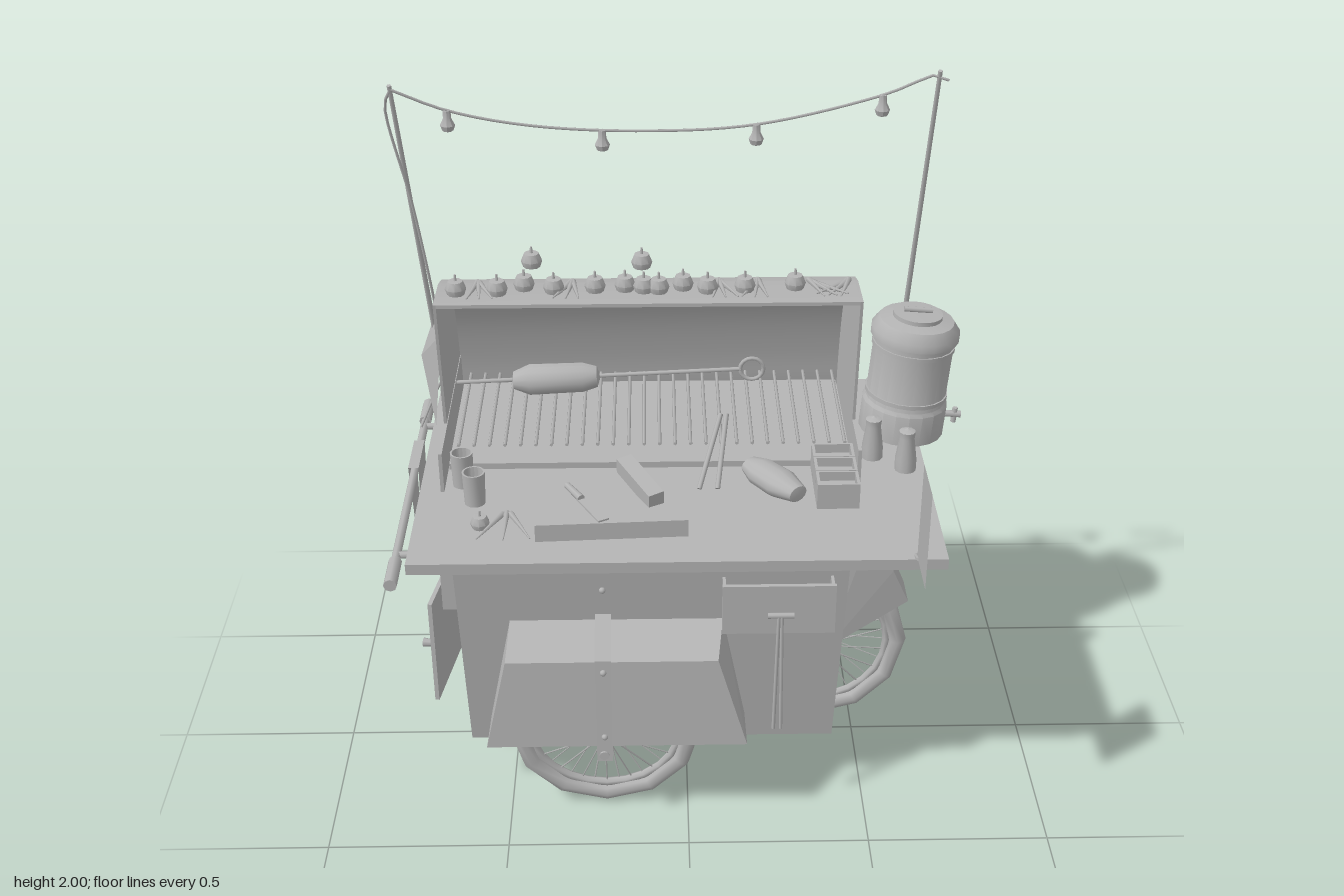
import * as THREE from 'three';
import { toCreasedNormals } from 'three/addons/utils/BufferGeometryUtils.js';
import { ConvexGeometry } from 'three/addons/geometries/ConvexGeometry.js';

const grey = new THREE.MeshStandardMaterial({ color: 0xb4b4b4, side: THREE.DoubleSide });
grey.name = 'plain grey';
const V = (p) => new THREE.Vector3(...p);

export function createModel() {
  const root = new THREE.Group();
  root.name = 'foodCart';

  const add = (name, geo, pos = [0, 0, 0], rot = [0, 0, 0], parent = root) => {
    const m = new THREE.Mesh(geo, grey);
    m.name = name;
    m.position.set(...pos);
    m.rotation.set(...rot);
    parent.add(m);
    return m;
  };
  // box given by its min and max corners
  const block = (name, a, b, parent = root) => add(name,
    new THREE.BoxGeometry(b[0] - a[0], b[1] - a[1], b[2] - a[2]),
    a.map((v, i) => (v + b[i]) / 2), [0, 0, 0], parent);
  // round bar between two points
  const rod = (name, a, b, r, r2 = r, parent = root, sides = 8) => {
    const d = V(b).sub(V(a));
    const m = add(name, new THREE.CylinderGeometry(r2, r, d.length(), sides),
      V(a).addScaledVector(d, 0.5).toArray(), [0, 0, 0], parent);
    m.quaternion.setFromUnitVectors(new THREE.Vector3(0, 1, 0), d.normalize());
    return m;
  };
  const wire = (name, pts, r = 0.004, n = 32) => add(name,
    new THREE.TubeGeometry(new THREE.CatmullRomCurve3(pts.map(V)), n, r, 5));
  const lathe = (name, pts, pos, sides = 16, rot, parent) => add(name, toCreasedNormals(
    new THREE.LatheGeometry(pts.map((p) => new THREE.Vector2(...p)), sides), 0.7), pos, rot, parent);
  // thin sheets made of four-cornered faces
  const sheets = (name, quads, parent = root) => {
    const g = new THREE.BufferGeometry();
    const v = quads.flatMap(([a, b, c, d]) => [a, b, c, a, c, d]).flat();
    g.setAttribute('position', new THREE.Float32BufferAttribute(v, 3));
    g.computeVertexNormals();
    return add(name, g, [0, 0, 0], [0, 0, 0], parent);
  };
  // (z, y) outline pushed along x
  const sideExtrude = (name, pts, x0, x1) => {
    const s = new THREE.Shape(pts.map((p) => new THREE.Vector2(...p)));
    const g = new THREE.ExtrudeGeometry(s, { depth: x1 - x0, bevelEnabled: false });
    g.rotateY(-Math.PI / 2).translate(x1, 0, 0);
    return add(name, toCreasedNormals(g, 0.5));
  };
  const rect = (x0, x1, z0, z1, y) => [[x0, y, z0], [x1, y, z0], [x1, y, z1], [x0, y, z1]];

  // Tapered body, trim and table top
  add('body', new ConvexGeometry([...rect(-0.61, 0.41, -0.41, 0.265, 0.19),
    ...rect(-0.622, 0.43, -0.495, 0.335, 0.81)].map(V)));
  block('bodyTrim', [-0.635, 0.8, -0.505], [0.442, 0.876, 0.345]);
  block('tableTop', [-0.725, 0.876, -0.534], [0.667, 0.907, 0.457]);
  for (const x of [-0.6, -0.23, 0.1, 0.4]) for (const z of [0.347, -0.507])
    add('trimBolt', new THREE.SphereGeometry(0.009, 8, 6), [x, 0.82, z]);

  // Spoked wheel, axis along z
  const wheel = (name, pos, tilt, parent) => {
    const w = new THREE.Group();
    w.name = name;
    w.position.set(...pos);
    w.rotation.x = tilt;
    parent.add(w);
    add('tyre', new THREE.TorusGeometry(0.243, 0.027, 8, 12), [0, 0, 0], [0, 0, 0], w);
    add('rim', new THREE.TorusGeometry(0.212, 0.012, 6, 24), [0, 0, 0], [0, 0, 0], w);
    add('hub', new THREE.CylinderGeometry(0.03, 0.03, 0.07, 12), [0, 0, 0], [Math.PI / 2, 0, 0], w);
    for (let i = 0; i < 36; i++) {
      const a = (i * Math.PI) / 18, c = Math.cos(a), s = Math.sin(a);
      rod('spoke', [c * 0.028, s * 0.028, i % 2 ? 0.028 : -0.028], [c * 0.208, s * 0.208, 0], 0.0022, 0.0022, w, 4);
    }
  };

  // Side wheels with boxy guards and straps, mirrored to the back
  for (const sign of [1, -1]) {
    const side = new THREE.Group();
    side.name = sign > 0 ? 'frontSideWheel' : 'backSideWheel';
    side.scale.z = sign;
    side.position.z = sign > 0 ? 0 : -0.16;
    root.add(side);
    wheel('sideWheel', [-0.23, 0.27, 0.322], 0.08, side);
    const back = [[-0.48, 0.63, 0.315], [0.095, 0.63, 0.315]];
    const edge = [[-0.49, 0.565, 0.42], [0.08, 0.565, 0.42]];
    const low = [[-0.55, 0.295, 0.437], [0.16, 0.295, 0.437]];
    const inner = [[-0.55, 0.28, 0.28], [0.16, 0.28, 0.28]];
    sheets('wheelGuard', [[back[0], edge[0], edge[1], back[1]], [edge[0], low[0], low[1], edge[1]],
      [back[0], inner[0], low[0], edge[0]], [back[1], edge[1], low[1], inner[1]]], side);
    const path = [[0.87, 0.348], [0.655, 0.325], [0.575, 0.43], [0.25, 0.446]];
    sheets('guardStrap', path.slice(1).map(([y, z], i) => {
      const [py, pz] = path[i];
      return [[-0.25, py, pz], [-0.25, y, z], [-0.207, y, z], [-0.207, py, pz]];
    }), side);
    rod('axle', [-0.23, 0.27, 0.27], [-0.23, 0.27, 0.45], 0.014, 0.014, side);
    for (const [y, z] of [[0.33, 0.442], [0.54, 0.434], [0.74, 0.337]])
      add('strapBolt', new THREE.SphereGeometry(0.009, 8, 6), [-0.228, y, z], [0, 0, 0], side);
  }

  // Steering wheel and its tapering hood at the +x end
  wheel('endWheel', [0.39, 0.27, -0.08], 0, root);
  const arc = [[0.42, 0.675, 0.088], [0.51, 0.645, 0.082], [0.6, 0.555, 0.066], [0.65, 0.44, 0.052]];
  const guard = [];
  for (let i = 0; i < 3; i++) {
    const [x, y, w] = arc[i], [X, Y, W] = arc[i + 1];
    guard.push([[x, y, -0.08 - w], [x, y, -0.08 + w], [X, Y, -0.08 + W], [X, Y, -0.08 - W]]);
    for (const s of [1, -1]) {
      const corner = [0.415, 0.31, -0.08 + s * 0.1];
      guard.push([[x, y, -0.08 + s * w], [X, Y, -0.08 + s * W], corner, corner]);
    }
  }
  sheets('endWheelGuard', guard);

  // Grill: curved lid, end panels, firebox, bars and spit
  const curve = new THREE.CatmullRomCurve3([[-0.165, 1.405, 0], [-0.26, 1.375, 0], [-0.385, 1.295, 0],
    [-0.45, 1.19, 0], [-0.5, 1.03, 0], [-0.52, 0.907, 0]].map(V)).getPoints(18).map((p) => [p.x, p.y]);
  const outer = [[-0.02, 1.41], ...curve];
  const inside = outer.map(([z, y]) => [z < -0.1 ? z + 0.012 : z, y > 0.92 ? y - 0.01 : y]).reverse();
  sideExtrude('lid', [...outer, ...inside], -0.66, 0.465);
  for (const x of [-0.668, 0.465]) {
    sideExtrude('lidEnd', [...outer, [-0.08, 0.907], [-0.07, 1.03]], x, x + 0.008);
    block('fireboxEnd', [x, 0.907, -0.5], [x + 0.01, 1.025, 0.1]);
  }
  block('lidSeam', [-0.672, 1.185, -0.462], [0.477, 1.2, -0.445]);
  block('lidFoot', [-0.672, 0.907, -0.527], [0.477, 1.025, -0.51]);
  for (const x of [-0.59, -0.1, 0.41]) block('lidHinge', [x - 0.012, 1.16, -0.475], [x + 0.012, 1.225, -0.45]);
  block('firebed', [-0.655, 0.907, -0.5], [0.46, 0.925, -0.02]);
  for (let i = 0; i < 26; i++)
    rod('grillBar', [-0.63 + i * 0.043, 0.965, -0.48], [-0.63 + i * 0.043, 0.965, -0.05], 0.005, 0.005, root, 5);
  rod('spit', [-0.64, 1.085, -0.2], [0.16, 1.12, -0.2], 0.006);
  add('spitRing', new THREE.TorusGeometry(0.033, 0.006, 6, 16), [0.19, 1.12, -0.2]);
  lathe('spitRoast', [[0, 0], [0.03, 0.01], [0.042, 0.05], [0.044, 0.2], [0.025, 0.245], [0, 0.25]],
    [-0.235, 1.1, -0.2], 14, [0, 0, Math.PI / 2 + 0.04]);

  // Vegetables on the lid and table
  const ball = (x, y, z, r = 0.029) => lathe('tomato',
    [[0, -r * 0.9], [r * 0.8, -r * 0.6], [r, 0], [r * 0.7, r * 0.7], [r * 0.15, r * 0.75], [0.003, r * 1.35], [0, r * 1.35]], [x, y, z], 9);
  [[-0.61, -0.07], [-0.5, -0.07], [-0.43, -0.1], [-0.35, -0.08], [-0.24, -0.085], [-0.16, -0.09], [-0.11, -0.08],
    [-0.07, -0.075], [-0.005, -0.095], [0.06, -0.075], [0.16, -0.08], [0.295, -0.092]].forEach(([x, z]) => ball(x, 1.437, z));
  ball(-0.41, 1.485, -0.14);
  ball(-0.115, 1.48, -0.14);
  const pepper = (x, y, z, a, l = 0.13) => rod('chilli', [x - Math.sin(a) * l / 2, y, z - Math.cos(a) * l / 2],
    [x + Math.sin(a) * l / 2, y + 0.01, z + Math.cos(a) * l / 2], 0.009, 0.002, root, 6);
  [-0.55, -0.31, 0.1, 0.19, 0.37, 0.41].forEach((x, i) => {
    for (const k of [-1, 0, 1]) pepper(x + k * 0.018, 1.42, -0.08, k * 0.25 + (i > 3 ? 0.5 : 0.1) * (i % 2 ? -1 : 1));
  });
  ball(-0.545, 0.932, 0.295, 0.026);
  for (const a of [-0.4, 0, 0.4]) pepper(-0.48 + a * 0.1, 0.917, 0.3, a, 0.15);

  // Cutting board, knives, loaf and tongs
  add('cuttingBoard', new THREE.BoxGeometry(0.4, 0.05, 0.265), [-0.205, 0.932, 0.213], [0, 0.05, 0]);
  add('cutMeat', new THREE.BoxGeometry(0.045, 0.045, 0.18), [-0.125, 0.985, 0.185], [0.15, 0.5, 0]);
  rod('knifeHandle', [-0.28, 0.967, 0.24], [-0.32, 0.967, 0.17], 0.011, 0.009);
  add('knifeBlade', new THREE.BoxGeometry(0.03, 0.005, 0.13), [-0.25, 0.963, 0.285], [0, 0.5, 0]);
  lathe('loaf', [[0, 0], [0.03, 0.01], [0.048, 0.06], [0.05, 0.14], [0.03, 0.21], [0, 0.215]],
    [0.17, 0.948, 0.03], 12, [Math.PI / 2, 0, -0.65]).scale.z = 0.75;
  for (const s of [-1, 1]) rod('tongArm', [0.06 + s * 0.025, 0.915, 0.11], [0.105 + s * 0.008, 1.07, -0.03], 0.007);
  for (let i = 0; i < 3; i++) {
    const z = -0.015 + i * 0.075;
    for (const x of [0.348, 0.454]) block('spiceBoxSide', [x, 0.907, z], [x + 0.008, 0.982, z + 0.072]);
    for (const dz of [0, 0.066]) block('spiceBoxEnd', [0.348, 0.907, z + dz], [0.462, 0.982, z + dz + 0.006]);
    block('spice', [0.352, 0.907, z + 0.003], [0.458, 0.955, z + 0.07]);
  }

  // Cups and sauce bottles
  for (const [x, z, h] of [[-0.61, 0.06, 0.1], [-0.57, 0.155, 0.095]])
    lathe('cup', [[0, 0], [0.028, 0], [0.031, h], [0.026, h], [0.024, 0.01]], [x, 0.907, z]);
  for (const [x, z] of [[0.525, -0.07], [0.61, 0]])
    lathe('sauceBottle', [[0, 0], [0.03, 0], [0.03, 0.035], [0.021, 0.1], [0.023, 0.12], [0.008, 0.125], [0, 0.13]], [x, 0.907, z], 10);

  // Leaning drink urn with bands and tap
  const urn = new THREE.Group();
  urn.name = 'drinkUrn';
  urn.position.set(0.625, 0.912, -0.235);
  urn.rotation.z = -0.08;
  root.add(urn);
  lathe('urnBody', [[0, 0], [0.122, 0], [0.122, 0.09], [0.114, 0.1], [0.114, 0.29], [0.125, 0.295], [0.125, 0.318],
    [0.105, 0.345], [0.07, 0.352], [0.07, 0.364], [0, 0.366]], [0, 0, 0], 20, undefined, urn);
  for (const y of [0.12, 0.27]) add('urnBand', new THREE.CylinderGeometry(0.118, 0.118, 0.012, 20), [0, y, 0], [0, 0, 0], urn);
  rod('tap', [0.11, 0.05, 0], [0.168, 0.05, 0], 0.01, 0.01, urn);
  rod('tapSpout', [0.15, 0.025, 0], [0.15, 0.07, 0], 0.008, 0.008, urn);
  rod('urnLidHandle', [-0.04, 0.372, 0], [0.04, 0.372, 0], 0.008, 0.008, urn);

  // Poles, light string and loose cable
  rod('leftPole', [-0.705, 0.9, -0.466], [-0.755, 1.965, -0.16], 0.008, 0.006);
  rod('rightPole', [0.632, 0.9, -0.466], [0.656, 1.995, -0.16], 0.008, 0.006);
  wire('lightString', [[-0.755, 1.955, -0.16], [-0.615, 1.89, -0.183], [-0.4, 1.84, -0.203], [-0.1, 1.82, -0.213],
    [0.19, 1.838, -0.207], [0.515, 1.925, -0.18], [0.656, 1.985, -0.162], [0.68, 1.97, -0.16]]);
  for (const [x, y, z] of [[-0.615, 1.89, -0.183], [-0.215, 1.823, -0.212], [0.19, 1.838, -0.207], [0.515, 1.925, -0.18]])
    lathe('bulb', [[0, -0.06], [0.015, -0.054], [0.02, -0.04], [0.011, -0.022], [0.01, 0], [0, 0]], [x, y, z], 8);
  wire('looseCable', [[-0.755, 1.95, -0.16], [-0.775, 1.9, -0.19], [-0.73, 1.6, -0.24], [-0.695, 1.25, -0.3],
    [-0.7, 1.0, -0.44], [-0.74, 0.91, -0.46], [-0.78, 0.83, -0.4]]);
  add('cableCoil', new THREE.TorusGeometry(0.05, 0.004, 5, 16), [-0.7, 1.2, -0.45], [0.5, 1.2, 0]);

  // Leaning board beside the lid, and a side sign on the table edge
  sheets('leaningBoard', [[[-0.765, 1.06, -0.42], [-0.71, 0.935, -0.22], [-0.675, 1.235, -0.2], [-0.7, 1.24, -0.42]]]);
  sheets('sideSign', [[[0.585, 0.915, 0.455], [0.585, 0.915, 0.605], [0.585, 1.19, 0.605], [0.585, 1.19, 0.455]]]);
  rod('signPeg', [0.585, 0.9, 0.42], [0.585, 0.92, 0.475], 0.005);

  // Push bar with grips and cloth
  rod('pushBar', [-0.775, 0.815, -0.55], [-0.775, 0.815, 0.39], 0.012);
  for (const [a, b] of [[-0.573, -0.46], [0.3, 0.415]]) rod('grip', [-0.775, 0.815, a], [-0.775, 0.815, b], 0.018);
  for (const z of [-0.43, 0.27]) rod('barBracket', [-0.775, 0.815, z], [-0.62, 0.82, z], 0.01);
  sheets('hangingCloth', [[[-0.792, 0.83, -0.32], [-0.792, 0.83, -0.16], [-0.782, 0.55, -0.17], [-0.788, 0.57, -0.31]],
    [[-0.792, 0.83, -0.32], [-0.762, 0.83, -0.32], [-0.762, 0.83, -0.16], [-0.792, 0.83, -0.16]],
    [[-0.762, 0.83, -0.32], [-0.762, 0.83, -0.16], [-0.768, 0.62, -0.16], [-0.764, 0.64, -0.31]]]);

  // Half-open door and shutter on the -x end
  const door = new THREE.Group();
  door.name = 'sideDoor';
  door.position.set(-0.622, 0.255, -0.36);
  door.rotation.y = -0.16;
  root.add(door);
  block('doorPanel', [-0.012, 0, 0], [0, 0.33, 0.54], door);
  rod('doorKnob', [-0.012, 0.17, 0.5], [-0.045, 0.17, 0.5], 0.009, 0.013, door);
  for (const y of [0.05, 0.26]) block('doorHinge', [-0.02, y, -0.03], [-0.01, y + 0.03, 0.07], door);
  block('upperPanel', [-0.665, 0.63, 0.12], [-0.615, 0.78, 0.26]);

  // Open drawer and hanging tongs on the front
  block('drawerFront', [0.09, 0.635, 0.382], [0.39, 0.785, 0.394]);
  block('drawerFloor', [0.1, 0.637, 0.3], [0.38, 0.647, 0.385]);
  for (const x of [0.092, 0.38]) block('drawerSide', [x, 0.637, 0.3], [x + 0.008, 0.775, 0.385]);
  rod('drawerPull', [0.21, 0.7, 0.405], [0.28, 0.7, 0.405], 0.008);
  for (const s of [-1, 1]) rod('hangingTong', [0.243 + s * 0.004, 0.7, 0.408], [0.243 + s * 0.01, 0.32, 0.4], 0.005);

  return root;
}
